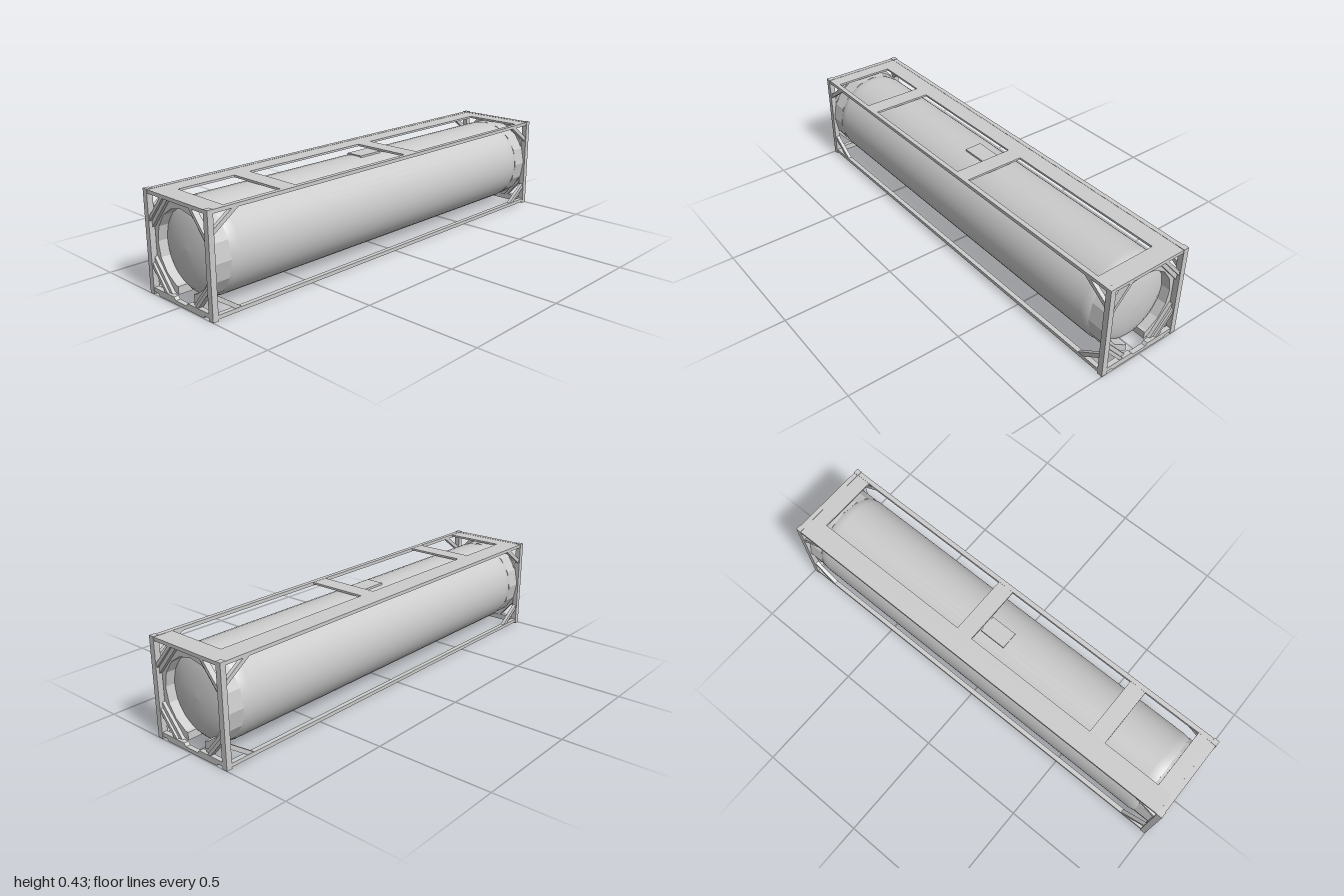
import * as THREE from 'three';

const mat = new THREE.MeshStandardMaterial({ color: 0xcccccc });
const CY = 0.215; // tank axis height

function add(parent, name, geometry) {
  const m = new THREE.Mesh(geometry, mat);
  m.name = name;
  parent.add(m);
  return m;
}

// Box given by its min and max on each axis
function box(parent, name, [x0, x1], [y0, y1], [z0, z1]) {
  const g = new THREE.BoxGeometry(x1 - x0, y1 - y0, z1 - z0);
  g.translate((x0 + x1) / 2, (y0 + y1) / 2, (z0 + z1) / 2);
  return add(parent, name, g);
}

function extrude(points, depth) {
  const shape = new THREE.Shape(points.map(([a, b]) => new THREE.Vector2(a, b)));
  return new THREE.ExtrudeGeometry(shape, { depth, bevelEnabled: false });
}

// Outline in the (z, y) plane, extruded from x0 to x1
function endPlate(parent, name, points, x0, x1) {
  const g = extrude(points.map(([z, y]) => [-z, y]), x1 - x0);
  g.rotateY(Math.PI / 2);
  g.translate(x0, 0, 0);
  return add(parent, name, g);
}

// Outline in the (x, y) plane, extruded from z0 to z1
function sidePlate(parent, name, points, z0, z1) {
  const g = extrude(points, z1 - z0);
  g.translate(0, 0, z0);
  return add(parent, name, g);
}

// 16-sided collar around the tank end, open at the bottom
function skirtOutline() {
  const outer = [[0.05, CY - 0.188]], inner = [[0.05, CY - 0.155]];
  for (let k = 1; k < 16; k++) {
    const a = -Math.PI / 2 + (k * Math.PI) / 8;
    outer.push([0.195 * Math.cos(a), CY + 0.195 * Math.sin(a)]);
    inner.push([0.165 * Math.cos(a), CY + 0.165 * Math.sin(a)]);
  }
  outer.push([-0.05, CY - 0.188]);
  inner.push([-0.05, CY - 0.155]);
  return [...outer, ...inner.reverse()];
}

function createEnd() {
  const end = new THREE.Group();

  // Cross beams
  box(end, 'topEndBeam', [0.977, 0.998], [0.409, 0.424], [-0.176, 0.176]);
  endPlate(end, 'bottomEndBeam', [
    [-0.176, 0.01], [-0.148, 0.01], [-0.14, 0.001], [0.14, 0.001], [0.148, 0.01], [0.176, 0.01],
    [0.176, 0.028], [0.044, 0.028], [0.034, 0.016], [-0.034, 0.016], [-0.044, 0.028], [-0.176, 0.028],
  ], 0.977, 0.998);

  endPlate(end, 'tankSkirt', skirtOutline(), 0.9, 0.972);

  for (const s of [1, -1]) {
    const m = (pts) => pts.map(([z, y]) => [s * z, y]);
    const zs = (a, b) => (s > 0 ? [a, b] : [-b, -a]);

    box(end, 'cornerPost', [0.975, 1], [0, 0.426], zs(0.175, 0.2));

    // Diagonal braces across the end: raised outer strip, recessed inner strip
    endPlate(end, 'upperBrace', m([[0.177, 0.318], [0.177, 0.297], [0.079, 0.411], [0.097, 0.411]]), 0.972, 0.996);
    endPlate(end, 'upperBraceFlange', m([[0.177, 0.3], [0.177, 0.271], [0.059, 0.411], [0.082, 0.411]]), 0.968, 0.986);
    endPlate(end, 'lowerBrace', m([[0.177, 0.11], [0.177, 0.131], [0.087, 0.026], [0.105, 0.026]]), 0.972, 0.996);
    endPlate(end, 'lowerBraceFlange', m([[0.177, 0.128], [0.177, 0.155], [0.067, 0.026], [0.09, 0.026]]), 0.968, 0.986);

    // Corner struts in the long sides
    const [z0, z1] = zs(0.179, 0.196);
    sidePlate(end, 'upperSideStrut', [[0.978, 0.325], [0.978, 0.347], [0.885, 0.412], [0.855, 0.412]], z0, z1);
    sidePlate(end, 'lowerSideStrut', [[0.978, 0.102], [0.978, 0.08], [0.885, 0.015], [0.855, 0.015]], z0, z1);
  }
  return end;
}

export function createModel() {
  const model = new THREE.Group();
  model.name = 'tankContainer';

  // Tank with domed ends
  const half = [[0, 0.957], [0.05, 0.955], [0.1, 0.949], [0.14, 0.94], [0.165, 0.93],
    [0.183, 0.915], [0.193, 0.898], [0.197, 0.875], [0.197, 0.86]];
  const profile = [
    ...half.map(([r, x]) => new THREE.Vector2(r, -x)),
    ...half.slice().reverse().map(([r, x]) => new THREE.Vector2(r, x)),
  ];
  const tank = new THREE.LatheGeometry(profile, 48);
  tank.rotateZ(-Math.PI / 2);
  tank.translate(0, CY, 0);
  add(model, 'tank', tank);

  // Hatch on the tank top
  box(model, 'hatch', [-0.063, 0.06], [0.39, 0.416], [-0.043, 0.037]);

  // Two identical end frames
  for (const [name, turn] of [['leftEndFrame', 0], ['rightEndFrame', Math.PI]]) {
    const end = createEnd();
    end.name = name;
    end.rotation.y = turn;
    model.add(end);
  }

  // Long rails
  for (const z of [[0.177, 0.198], [-0.198, -0.177]]) {
    box(model, 'topSideRail', [-0.976, 0.976], [0.409, 0.424], z);
    box(model, 'bottomSideRail', [-0.976, 0.976], [0.006, 0.022], z);
  }

  // Walkway along the back and plates across the top
  box(model, 'walkway', [-0.978, 0.978], [0.414, 0.423], [-0.18, -0.1]);
  for (const x of [[-0.978, -0.912], [-0.645, -0.567], [0.065, 0.143], [0.91, 0.978]]) {
    box(model, 'topPlate', x, [0.414, 0.423], [-0.1, 0.178]);
  }
  return model;
}
